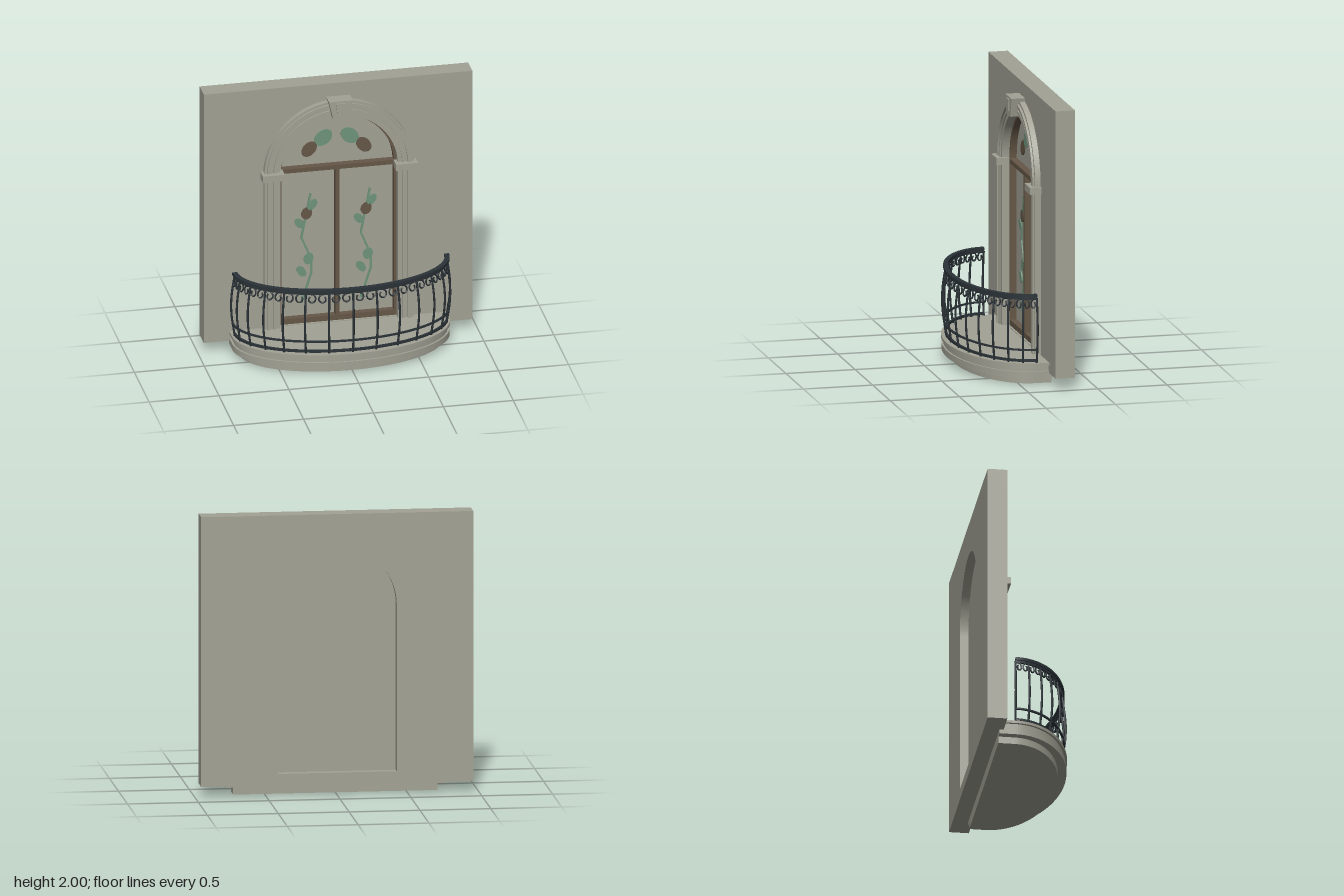
import * as THREE from 'three';

const mat = (name, color) => {
  const m = new THREE.MeshStandardMaterial({ color });
  m.name = name;
  return m;
};

export function createModel() {
  const stone = mat('stone', 0xa3a295);
  const wood = mat('brown wood', 0x665747);
  const green = mat('leaf green', 0x70957b);
  const iron = mat('dark iron', 0x2b3338);
  const model = new THREE.Group();
  const add = (name, geo, m, parent = model) => {
    const mesh = new THREE.Mesh(geo, m);
    mesh.name = name;
    parent.add(mesh);
    return mesh;
  };
  const group = (name) => {
    const g = new THREE.Group();
    g.name = name;
    model.add(g);
    return g;
  };
  const box = (name, x0, x1, y0, y1, z0, z1, m, parent) => {
    const b = add(name, new THREE.BoxGeometry(x1 - x0, y1 - y0, z1 - z0), m, parent);
    b.position.set((x0 + x1) / 2, (y0 + y1) / 2, (z0 + z1) / 2);
    return b;
  };
  const extrude = (shape, z0, z1) =>
    new THREE.ExtrudeGeometry(shape, { depth: z1 - z0, bevelEnabled: false, curveSegments: 40 }).translate(0, 0, z0);

  // Arched outlines
  const SPRING = 1.345, SILL = 0.16, BACK = -0.345, FACE = -0.205;
  const arch = (path, r) => {
    path.moveTo(r, SILL);
    path.lineTo(r, SPRING);
    path.absarc(0, SPRING, r, 0, Math.PI, false);
    path.lineTo(-r, SILL);
    return path;
  };
  const archBand = (r0, r1) => {
    const s = arch(new THREE.Shape(), r1);
    s.lineTo(-r0, SILL);
    s.lineTo(-r0, SPRING);
    s.absarc(0, SPRING, r0, Math.PI, 0, true);
    s.lineTo(r0, SILL);
    return s;
  };

  // Wall with arched opening
  const wall = new THREE.Shape();
  wall.moveTo(-0.96, 0.08);
  wall.lineTo(0.96, 0.08);
  wall.lineTo(0.96, 2);
  wall.lineTo(-0.96, 2);
  wall.holes.push(arch(new THREE.Path(), 0.535));
  add('wall', extrude(wall, BACK, FACE), stone);

  // Stepped surround moulding
  const surround = group('archSurround');
  [[0.42, 0.45, -0.165], [0.45, 0.47, -0.155], [0.47, 0.49, -0.168], [0.49, 0.517, -0.15], [0.517, 0.535, -0.165]]
    .forEach(([r0, r1, z]) => add('mouldingBand', extrude(archBand(r0, r1), BACK, z), stone, surround));
  for (const s of [-1, 1]) box('impostBlock', s * 0.477 - 0.079, s * 0.477 + 0.079, 1.315, 1.365, -0.21, -0.122, stone, surround);

  // Keystone with raised panel
  const trapezoid = (wb, wt, y0, y1) => new THREE.Shape([[-wb, y0], [wb, y0], [wt, y1], [-wt, y1]].map((p) => new THREE.Vector2(...p)));
  add('keystone', extrude(trapezoid(0.055, 0.085, 1.765, 1.9), -0.205, -0.107), stone);
  add('keystonePanel', extrude(trapezoid(0.025, 0.036, 1.8, 1.885), -0.107, -0.097), stone);

  // Door panel, frame and bars
  const door = group('door');
  add('doorPanel', extrude(arch(new THREE.Shape(), 0.42), -0.285, -0.268), stone, door);
  add('doorFrame', extrude(archBand(0.402, 0.42), -0.268, -0.22), wood, door);
  box('mullion', -0.015, 0.015, 0.2, 1.33, -0.268, -0.22, wood, door);
  box('transom', -0.402, 0.402, 1.328, 1.36, -0.268, -0.215, wood, door);
  box('bottomBar', -0.402, 0.402, SILL, 0.2, -0.268, -0.22, wood, door);

  // Flower decoration: flat oval leaves and straight stems
  const flowers = group('flowerDecoration');
  const disc = new THREE.CylinderGeometry(1, 1, 0.008, 28).rotateX(Math.PI / 2);
  const leaf = (name, x, y, rx, ry, turn, m) => {
    const l = add(name, disc, m, flowers);
    l.position.set(x, y, -0.261);
    l.scale.set(rx, ry, 1);
    l.rotation.z = turn;
  };
  for (const s of [-1, 1]) {
    leaf('upperLeaf', s * 0.095, 1.56, 0.072, 0.053, -s * 0.7, green);
    leaf('upperBud', s * 0.195, 1.48, 0.064, 0.046, -s * 0.85, wood);
  }
  const stem = [[-0.185, 1.135], [-0.25, 0.8], [-0.18, 0.63], [-0.18, 0.52], [-0.25, 0.3]];
  for (const dx of [0, 0.425]) {
    for (let i = 1; i < stem.length; i++) {
      const [x0, y0] = stem[i - 1], [x1, y1] = stem[i];
      const s = add('stem', new THREE.BoxGeometry(0.015, Math.hypot(x1 - x0, y1 - y0) + 0.006, 0.009), green, flowers);
      s.position.set((x0 + x1) / 2 + dx, (y0 + y1) / 2, -0.264);
      s.rotation.z = Math.atan2(x0 - x1, y0 - y1) * -1;
    }
    leaf('bud', dx - 0.213, 0.985, 0.038, 0.046, -0.3, wood);
    leaf('leaf', dx - 0.172, 1.05, 0.028, 0.046, -0.6, green);
    leaf('leaf', dx - 0.265, 0.912, 0.028, 0.044, 0.7, green);
    leaf('leaf', dx - 0.2, 0.635, 0.034, 0.044, -0.3, green);
    leaf('leaf', dx - 0.25, 0.54, 0.028, 0.046, 0.6, green);
  }

  // Balcony slab: stacked half-oval tiers
  const slab = group('balconySlab');
  [[0.72, 0.395, 0, 0.05], [0.775, 0.456, 0.05, 0.095], [0.76, 0.443, 0.095, 0.135], [0.778, 0.46, 0.135, 0.155]]
    .forEach(([rx, rz, y0, y1]) => {
      const s = new THREE.Shape();
      s.moveTo(-rx, 0.235);
      s.lineTo(-rx, 0.12);
      s.absellipse(0, 0.12, rx, rz, Math.PI, 2 * Math.PI, false);
      s.lineTo(rx, 0.235);
      add('slabTier', extrude(s, y0, y1).rotateX(-Math.PI / 2), stone, slab);
    });

  // Curved railing
  const railing = group('railing');
  const RX = 0.757, RZ = 0.425;
  const rail = (name, o0, o1, y0, y1) => {
    const s = new THREE.Shape();
    s.absellipse(0, 0.12, RX + o1, RZ + o1, Math.PI, 2 * Math.PI, false);
    s.lineTo(RX + o0, 0.12);
    s.absellipse(0, 0.12, RX + o0, RZ + o0, 2 * Math.PI, Math.PI, true);
    add(name, extrude(s, y0, y1).rotateX(-Math.PI / 2), iron, railing);
  };
  rail('handrail', -0.018, 0.018, 0.626, 0.647);
  rail('upperRail', -0.009, 0.009, 0.61, 0.626);
  rail('middleRail', 0.006, 0.02, 0.245, 0.257);
  rail('bottomRail', -0.008, 0.008, 0.163, 0.18);

  // Bellied balusters with a scroll on each side
  const onRailing = (t, y) => {
    const o = 0.026 * Math.sin(Math.PI * THREE.MathUtils.clamp((y - 0.165) / 0.455, 0, 1));
    return new THREE.Vector3((RX + o) * Math.sin(t), y, -0.12 + (RZ + o) * Math.cos(t));
  };
  const tube = (name, pts, seg, r) =>
    add(name, new THREE.TubeGeometry(new THREE.CatmullRomCurve3(pts), seg, r, 6, false), iron, railing);
  const N = 14;
  for (let i = 0; i <= N; i++) {
    const t = (i / N - 0.5) * Math.PI;
    const pts = [];
    for (let k = 0; k <= 8; k++) pts.push(onRailing(t, 0.155 + (k / 8) * 0.465));
    tube('baluster', pts, 14, 0.008);
    for (const s of [-1, 1]) {
      if ((i === 0 && s < 0) || (i === N && s > 0)) continue;
      const curl = [onRailing(t, 0.614)];
      for (let k = 0; k <= 10; k++) {
        const a = 1.7 - k * 0.58, r = 0.034 - k * 0.0016;
        curl.push(onRailing(t + (s * (0.044 + r * Math.cos(a))) / RX, 0.577 + r * Math.sin(a)));
      }
      tube('scroll', curl, 24, 0.006);
    }
  }
  return model;
}
